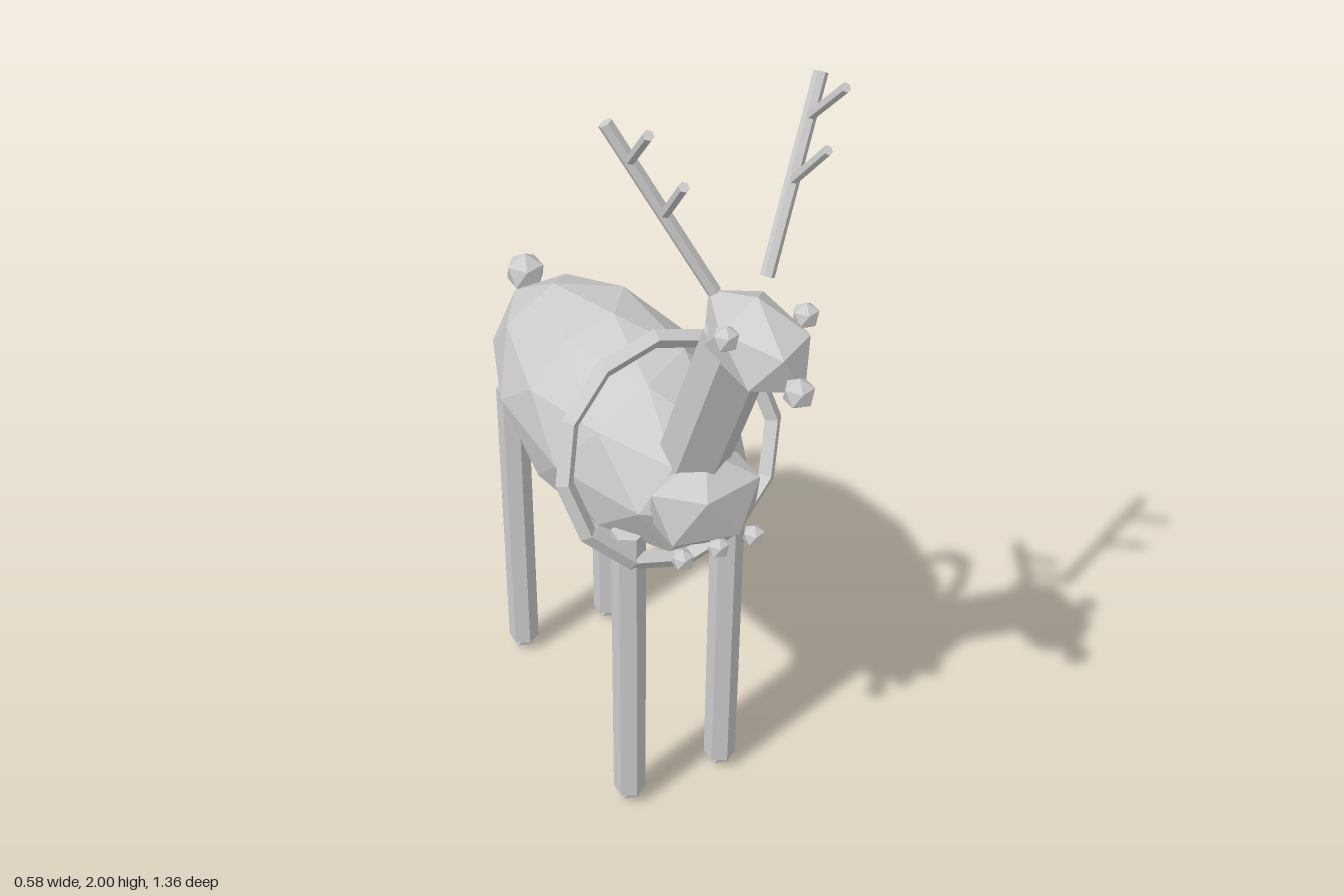
import * as THREE from 'three';

export function createModel() {
  const model = new THREE.Group();
  model.name = 'deer';
  const grey = new THREE.MeshStandardMaterial({ color: 0xcccccc, flatShading: true });
  grey.name = 'plainGrey';

  function add(name, geometry, x = 0, y = 0, z = 0) {
    const mesh = new THREE.Mesh(geometry, grey);
    mesh.name = name;
    mesh.position.set(x, y, z);
    model.add(mesh);
    return mesh;
  }

  // Faceted ball with a corner pointing straight up
  const lean = Math.atan(2 / (1 + Math.sqrt(5)));
  function ball(name, [x, y, z], [rx, ry = rx, rz = rx], detail = 0) {
    const g = new THREE.IcosahedronGeometry(1, detail);
    g.rotateZ(lean);
    g.scale(rx, ry, rz);
    return add(name, g, x, y, z);
  }

  // Six-sided bar between two points
  function bar(name, from, to, radius) {
    const a = new THREE.Vector3(...from);
    const b = new THREE.Vector3(...to);
    const dir = b.clone().sub(a);
    const mesh = add(name, new THREE.CylinderGeometry(radius, radius, dir.length(), 6));
    mesh.position.copy(a).add(b).multiplyScalar(0.5);
    mesh.quaternion.setFromUnitVectors(new THREE.Vector3(0, 1, 0), dir.normalize());
    return mesh;
  }

  // Body, chest, neck, head
  ball('body', [0, 0.972, -0.135], [0.242, 0.258, 0.485], 1);
  ball('chest', [0, 0.995, 0.3], [0.15, 0.128, 0.1]);
  bar('neck', [0, 1.05, 0.235], [0, 1.5, 0.432], 0.08);
  ball('head', [0, 1.52, 0.485], [0.094, 0.1, 0.17]);
  ball('nose', [0, 1.495, 0.648], [0.034]);
  ball('tail', [0, 1.075, -0.633], [0.053]);

  // Collar ring leaning back at the top
  const collar = add('collar', new THREE.TorusGeometry(0.267, 0.022, 4, 12), 0, 1.025, 0.145);
  collar.rotation.x = -0.3;

  // Bells under the chest
  for (const x of [-0.09, 0, 0.09]) ball('bell', [x, 0.905, 0.367], [0.027]);

  for (const s of [-1, 1]) {
    const side = s > 0 ? 'left' : 'right';
    ball(side + 'Eye', [s * 0.09, 1.572, 0.52], [0.029]);

    // Legs and hooves
    for (const [end, z] of [['Front', 0.185], ['Rear', -0.45]]) {
      bar(side + end + 'Leg', [s * 0.13, 0.04, z], [s * 0.13, 0.87, z], 0.04);
      ball(side + end + 'Hoof', [s * 0.13, 0.04, z], [0.037]);
    }

    // Antler beam with two forward tines
    bar(side + 'Antler', [s * 0.06, 1.615, 0.42], [s * 0.235, 1.967, 0.303], 0.015);
    bar(side + 'LowerTine', [s * 0.142, 1.78, 0.365], [s * 0.155, 1.89, 0.463], 0.011);
    bar(side + 'UpperTine', [s * 0.197, 1.89, 0.328], [s * 0.21, 1.992, 0.428], 0.011);
  }
  return model;
}
